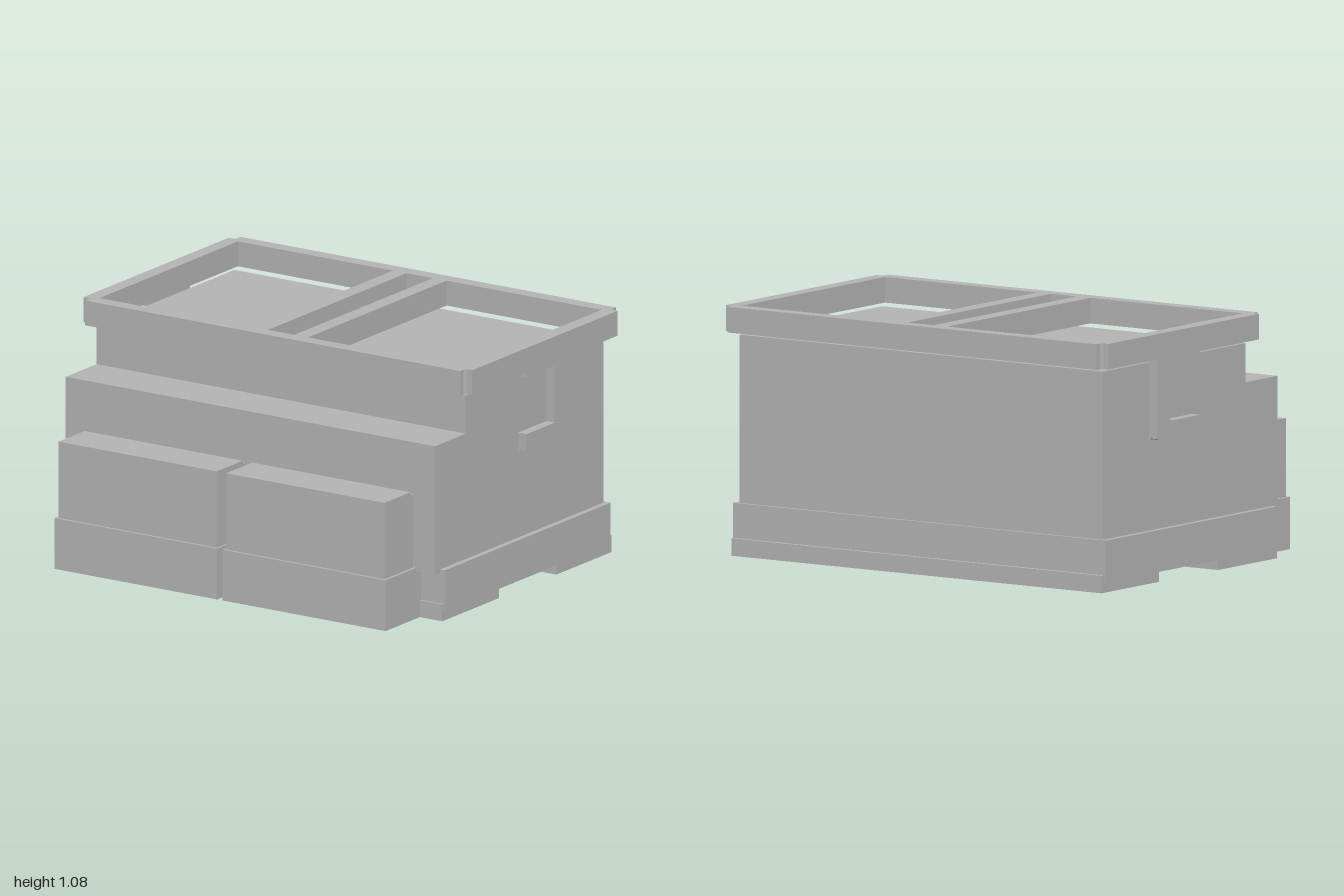
import * as THREE from 'three';

export function createModel() {
  const group = new THREE.Group();
  const grey = new THREE.MeshStandardMaterial({ color: 0xb2b2b2 });
  grey.name = 'grey';

  const add = (name, geometry) => {
    const mesh = new THREE.Mesh(geometry, grey);
    mesh.name = name;
    group.add(mesh);
  };
  // Box given by its lower and upper limits on each axis
  const box = (name, x0, x1, y0, y1, z0, z1) =>
    add(name, new THREE.BoxGeometry(x1 - x0, y1 - y0, z1 - z0)
      .translate((x0 + x1) / 2, (y0 + y1) / 2, (z0 + z1) / 2));
  const outline = (points) => new THREE.Shape(points.map(([a, b]) => new THREE.Vector2(a, b)));
  // Side profile of [z, y] points, extruded across x0..x1
  const sideProfile = (name, points, x0, x1) =>
    add(name, new THREE.ExtrudeGeometry(outline(points.map(([z, y]) => [-z, y])),
      { depth: x1 - x0, bevelEnabled: false }).rotateY(Math.PI / 2).translate(x0, 0, 0));

  // Stepped main body
  sideProfile('body', [[-0.72, 0.21], [0.56, 0.21], [0.56, 0.78], [0.325, 0.78], [0.325, 0.948], [-0.72, 0.948]], -0.95, 0.95);

  // Base skirt and the two feet runners under it
  box('baseSkirt', -0.975, 0.975, 0.045, 0.225, -0.735, 0.52);
  box('frontFoot', -0.967, 0.967, 0, 0.075, 0.1, 0.53);
  box('backFoot', -0.967, 0.967, 0, 0.075, -0.755, -0.335);

  // Front boxes: wide plinth, upper block, narrow rear lip
  for (const s of [-1, 1]) {
    const span = (a, b) => (s > 0 ? [a, b] : [-b, -a]);
    box('frontPlinth', ...span(0.014, 0.852), 0, 0.225, 0.52, 0.79);
    box('frontBlock', ...span(0.025, 0.838), 0.225, 0.563, 0.58, 0.778);
    box('frontBlockLip', ...span(0.025, 0.838), 0.225, 0.55, 0.56, 0.58);

    // C-shaped side handle
    sideProfile('sideHandle', [[-0.07, 0.965], [-0.07, 0.94], [-0.285, 0.94], [-0.285, 0.69], [-0.07, 0.69],
      [-0.07, 0.615], [-0.365, 0.615], [-0.385, 0.622], [-0.385, 0.965]], ...span(0.95, 0.993));
  }

  // Lid frame with notched corners and three openings
  const corner = [[1, 0.552], [0.975, 0.552], [0.965, 0.565], [0.965, 0.59]];
  const mirror = (sx, sy) => corner.map(([x, y]) => [x * sx, y * sy]);
  const frame = outline([...mirror(1, 1), ...mirror(-1, 1).reverse(), ...mirror(-1, -1), ...mirror(1, -1).reverse()]);
  for (const [a, b] of [[-0.935, -0.138], [-0.068, 0.068], [0.138, 0.935]]) {
    frame.holes.push(new THREE.Path([[a, -0.525], [a, 0.525], [b, 0.525], [b, -0.525]]
      .map(([x, y]) => new THREE.Vector2(x, y))));
  }
  add('lidFrame', new THREE.ExtrudeGeometry(frame, { depth: 0.11, bevelEnabled: false })
    .rotateX(-Math.PI / 2).translate(0, 0.965, -0.2));

  return group;
}
